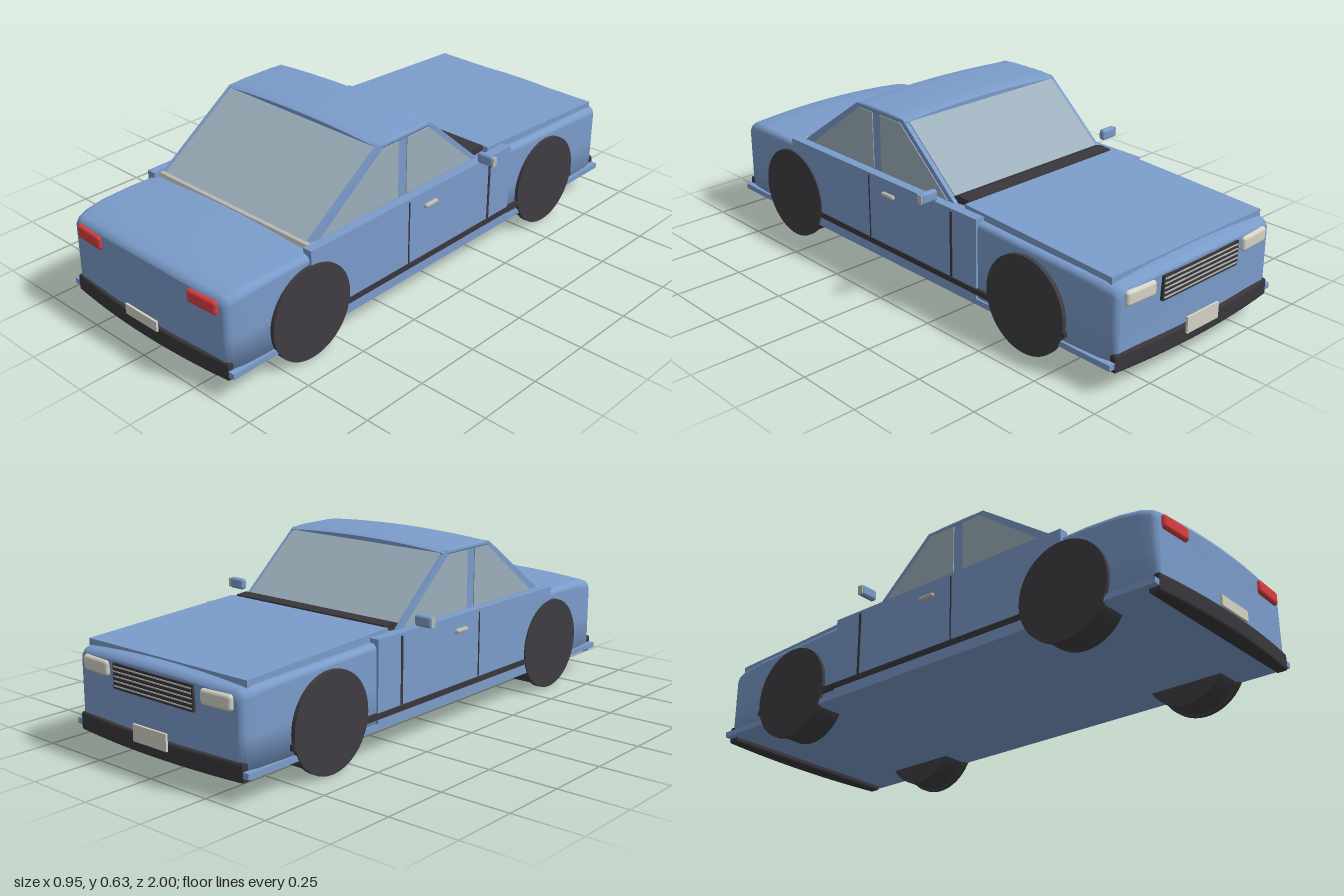
import * as THREE from 'three';
import { RoundedBoxGeometry } from 'three/addons/geometries/RoundedBoxGeometry.js';

const mat = (name, color, extra = {}) => {
  const m = new THREE.MeshStandardMaterial({ color, ...extra });
  m.name = name;
  return m;
};

export function createModel() {
  const car = new THREE.Group();
  car.name = 'car';
  const paint = mat('blue paint', 0x7b9ccb);
  const glass = mat('window glass', 0x9db0bd);
  const rubber = mat('wheel grey', 0x3f3d42);
  const trim = mat('dark trim', 0x39373b);
  const red = mat('tail light red', 0xdc3f40);
  const cream = mat('lamp cream', 0xd6d4c6);
  const chrome = mat('light grey metal', 0xb9b9b4);

  const add = (name, geo, material, x = 0, y = 0, z = 0) => {
    const m = new THREE.Mesh(geo, material);
    m.name = name;
    m.position.set(x, y, z);
    car.add(m);
    return m;
  };
  const box = (name, material, w, h, d, x, y, z) =>
    add(name, new THREE.BoxGeometry(w, h, d), material, x, y, z);
  const rbox = (name, material, w, h, d, x, y, z, r) =>
    add(name, new RoundedBoxGeometry(w, h, d, 3, r), material, x, y, z);

  // Side profile of [z, y] points extruded across x
  const across = (name, material, pts, halfW, x = 0) => {
    const shape = new THREE.Shape(pts.map(p => new THREE.Vector2(p[0], p[1])));
    const g = new THREE.ExtrudeGeometry(shape, { depth: halfW * 2, bevelEnabled: false });
    g.translate(0, 0, -halfW);
    g.rotateY(-Math.PI / 2);
    return add(name, g, material, x);
  };

  // Crowned, round-shouldered body lofted along z.
  // Section: [z, half width, bottom, top, shoulder radius, end bulge]
  const loft = (name, material, sections) => {
    const pos = [], idx = [], crown = 0.014;
    const rings = sections.map(([z, w, b, t, r, bulge]) => {
      const pts = [[-w, b]];
      const edge = t - crown;
      pts.push([-w, b + (edge - r - b) / 2]);
      for (let i = 0; i <= 5; i++) {
        const a = (i / 5) * Math.PI / 2;
        pts.push([-w + r - r * Math.cos(a), edge - r + r * Math.sin(a)]);
      }
      const half = pts.slice();
      for (let i = 1; i < 10; i++) {
        const u = i / 5 - 1;
        pts.push([u * (w - r), edge + crown * (1 - u * u)]);
      }
      half.reverse().forEach(([x, y]) => pts.push([-x, y]));
      for (let i = 1; i < 10; i++) pts.push([w * (1 - i / 5), b]);
      return pts.map(([x, y]) => [x, y, z + bulge * (1 - (x / w) ** 2)]);
    });
    const n = rings[0].length;
    rings.forEach(r => r.forEach(p => pos.push(...p)));
    for (let i = 0; i < rings.length - 1; i++) {
      for (let j = 0; j < n; j++) {
        const a = i * n + j, b = i * n + (j + 1) % n;
        idx.push(a, a + n, b, b, a + n, b + n);
      }
    }
    // End caps
    [0, rings.length - 1].forEach(k => {
      const [z, , b, t, , bulge] = sections[k];
      const c = pos.length / 3;
      pos.push(0, (b + t) / 2, z + bulge);
      rings[k].forEach(p => pos.push(...p));
      for (let j = 0; j < n; j++) {
        const p = c + 1 + j, q = c + 1 + (j + 1) % n;
        if (k === 0) idx.push(c, p, q); else idx.push(c, q, p);
      }
    });
    const g = new THREE.BufferGeometry();
    g.setAttribute('position', new THREE.Float32BufferAttribute(pos, 3));
    g.setIndex(idx);
    g.computeVertexNormals();
    return add(name, g, material);
  };

  // Lower body: both rounded ends, middle, door sides and sill
  loft('trunkEnd', paint, [
    [0.56, 0.392, 0.09, 0.382, 0.02, 0], [0.72, 0.392, 0.09, 0.387, 0.022, 0],
    [0.84, 0.39, 0.09, 0.385, 0.025, 0], [0.91, 0.385, 0.09, 0.379, 0.03, 0.006],
    [0.945, 0.377, 0.09, 0.37, 0.03, 0.011], [0.958, 0.37, 0.092, 0.361, 0.03, 0.014],
    [0.963, 0.358, 0.095, 0.35, 0.03, 0.014]]);
  loft('hoodEnd', paint, [
    [-0.963, 0.358, 0.095, 0.345, 0.03, -0.014], [-0.958, 0.37, 0.092, 0.356, 0.03, -0.014],
    [-0.945, 0.377, 0.09, 0.364, 0.03, -0.011], [-0.91, 0.385, 0.09, 0.37, 0.03, -0.006],
    [-0.8, 0.39, 0.09, 0.374, 0.022, 0], [-0.5, 0.392, 0.09, 0.384, 0.02, 0],
    [-0.28, 0.392, 0.09, 0.392, 0.02, 0]]);
  box('middleBody', paint, 0.76, 0.29, 0.92, 0, 0.235, 0.14);
  box('sill', paint, 0.8, 0.02, 1.93, 0, 0.095, 0);
  across('hood', paint, [[-0.29, 0.405], [-0.29, 0.38], [-0.93, 0.35], [-0.93, 0.374]], 0.365);
  across('cowl', trim, [[-0.29, 0.39], [-0.285, 0.409], [-0.24, 0.412], [-0.2, 0.4], [-0.2, 0.38]], 0.345);
  across('rearGlassTrim', chrome, [[0.58, 0.375], [0.58, 0.39], [0.61, 0.388], [0.615, 0.375]], 0.36);

  // Cabin and roof
  across('cabin', paint, [[0.6, 0.385], [0.275, 0.612], [0.025, 0.612], [-0.235, 0.385]], 0.36);
  loft('roof', paint, [
    [0.012, 0.355, 0.6, 0.62, 0.004, 0], [0.03, 0.36, 0.6, 0.627, 0.006, 0],
    [0.08, 0.361, 0.6, 0.631, 0.008, 0], [0.22, 0.361, 0.6, 0.631, 0.008, 0],
    [0.265, 0.36, 0.6, 0.627, 0.006, 0], [0.283, 0.355, 0.6, 0.62, 0.004, 0]]);
  across('rearWindow', glass, [[0.588, 0.39], [0.28, 0.605], [0.288, 0.605], [0.597, 0.39]], 0.343);
  across('windshield', glass, [[-0.225, 0.39], [0.02, 0.605], [0.011, 0.605], [-0.234, 0.39]], 0.343);

  // Parts mirrored on both sides
  for (const s of [1, -1]) {
    box('bodySide', paint, 0.035, 0.3, 1.01, s * 0.3825, 0.24, 0.125);
    across('rearSideWindow', glass, [[0.545, 0.39], [0.262, 0.598], [0.187, 0.598], [0.187, 0.39]], 0.003, s * 0.36);
    across('frontSideWindow', glass, [[0.145, 0.39], [0.145, 0.598], [0.038, 0.598], [-0.2, 0.39]], 0.003, s * 0.36);
    box('trimStrip', trim, 0.02, 0.02, 1.25, s * 0.394, 0.133, -0.155);
    box('rearDoorGap', trim, 0.004, 0.235, 0.005, s * 0.4, 0.262, 0.17);
    box('frontDoorGap', trim, 0.004, 0.235, 0.01, s * 0.4, 0.262, -0.26);
    rbox('doorHandle', chrome, 0.02, 0.016, 0.065, s * 0.402, 0.335, 0.062, 0.007);
    rbox('mirror', paint, 0.068, 0.04, 0.025, s * 0.437, 0.421, -0.19, 0.01);
    box('mirrorEdge', chrome, 0.005, 0.032, 0.02, s * 0.472, 0.421, -0.19);
    rbox('tailLight', red, 0.129, 0.05, 0.04, s * 0.278, 0.316, 0.96, 0.012).rotation.y = s * 0.05;
    rbox('headLight', cream, 0.129, 0.052, 0.04, s * 0.278, 0.308, -0.96, 0.012).rotation.y = -s * 0.05;
    for (const z of [0.632, -0.605]) {
      const tyre = new THREE.CylinderGeometry(0.162, 0.162, 0.11, 48).rotateZ(Math.PI / 2);
      add('tyre', tyre, rubber, s * 0.34, 0.17, z);
      const disc = new THREE.CylinderGeometry(0.17, 0.17, 0.018, 48).rotateZ(Math.PI / 2);
      add('wheelDisc', disc, rubber, s * 0.396, 0.17, z);
    }
  }

  // Bowed bumpers and number plates at both ends
  for (const s of [1, -1]) {
    const plan = new THREE.Shape();
    plan.moveTo(-0.37, 0.935);
    plan.lineTo(0.37, 0.935);
    plan.lineTo(0.37, 0.96);
    plan.quadraticCurveTo(0, 1.006, -0.37, 0.96);
    plan.closePath();
    const g = new THREE.ExtrudeGeometry(plan, {
      depth: 0.044, bevelThickness: 0.01, bevelSize: 0.007, bevelSegments: 3, curveSegments: 16 });
    g.rotateX(Math.PI / 2);
    const bumper = add('bumper', g, trim, 0, 0.121, 0);
    bumper.rotation.y = s > 0 ? 0 : Math.PI;
    const low = s > 0 ? 0.125 : 0.105;
    box('numberPlate', cream, 0.155, 0.162 - low, 0.008, 0, (0.162 + low) / 2, s * 0.995);
  }

  // Grille
  box('grille', trim, 0.37, 0.085, 0.03, 0, 0.293, -0.966);
  for (let i = 0; i < 5; i++)
    box('grilleBar', chrome, 0.36, 0.004, 0.004, 0, 0.261 + i * 0.016, -0.982);

  return car;
}
